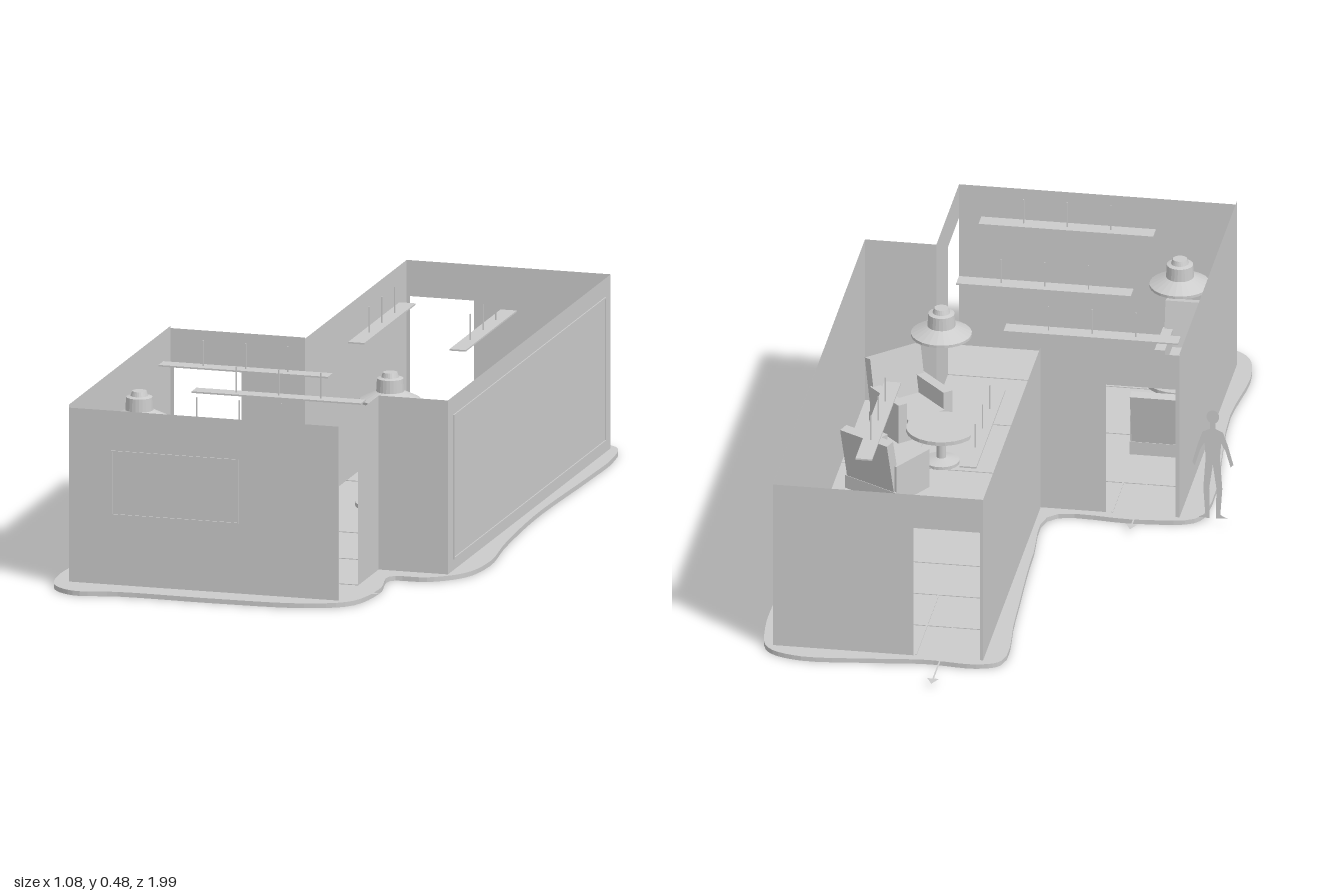
import * as THREE from 'three';

const grey = new THREE.MeshStandardMaterial({ color: 0xcccccc, flatShading: true, side: THREE.DoubleSide });
const FLOOR = 0.012;

function add(parent, name, geometry, x = 0, y = 0, z = 0) {
  const mesh = new THREE.Mesh(geometry, grey);
  mesh.name = name;
  mesh.position.set(x, y, z);
  parent.add(mesh);
  return mesh;
}

// Box given by its minimum and maximum corners
function block(parent, name, [x0, y0, z0], [x1, y1, z1]) {
  const geometry = new THREE.BoxGeometry(x1 - x0, y1 - y0, z1 - z0);
  return add(parent, name, geometry, (x0 + x1) / 2, (y0 + y1) / 2, (z0 + z1) / 2);
}

const shapeOf = pts => new THREE.Shape(pts.map(p => new THREE.Vector2(p[0], p[1])));

// Thin wall sheet between two plan points, with an optional doorway [start, end]
function wall(parent, name, [x0, z0], [x1, z1], height, door) {
  const len = Math.hypot(x1 - x0, z1 - z0);
  const pts = [[0, 0]];
  if (door) pts.push([door[0], 0], [door[0], 0.355], [door[1], 0.355], [door[1], 0]);
  pts.push([len, 0], [len, height - 0.01], [0, height - 0.01]);
  const mesh = add(parent, name, new THREE.ShapeGeometry(shapeOf(pts)), x0, 0.01, z0);
  mesh.rotation.y = Math.atan2(z0 - z1, x1 - x0);
}

// Armchair facing +z
function armchair(x, z, turn) {
  const g = new THREE.Group();
  g.name = 'armchair';
  block(g, 'chairBase', [-0.08, 0.015, -0.065], [0.08, 0.05, 0.07]);
  block(g, 'chairCushion', [-0.054, 0.05, -0.05], [0.054, 0.075, 0.075]);
  for (const s of [-1, 1])
    add(g, 'chairArm', new THREE.BoxGeometry(0.026, 0.07, 0.13), s * 0.067, 0.085, 0.005);
  const back = add(g, 'chairBack', new THREE.BoxGeometry(0.15, 0.14, 0.025), 0, 0.12, -0.065);
  back.rotation.x = -0.2;
  g.position.set(x, 0, z);
  g.rotation.y = turn;
  return g;
}

// Round table with a pendant lamp above
function tableAndLamp(x, z) {
  const g = new THREE.Group();
  g.name = 'tableAndLamp';
  const lathe = pts => new THREE.LatheGeometry(pts.map(p => new THREE.Vector2(...p)), 24);
  add(g, 'roundTable', lathe([[0, FLOOR], [0.045, FLOOR], [0.045, 0.02], [0.012, 0.028],
    [0.012, 0.1], [0.088, 0.1], [0.088, 0.11], [0, 0.11]]));
  add(g, 'pendantLamp', lathe([[0.03, 0.36], [0.076, 0.365], [0.076, 0.372], [0.035, 0.392],
    [0.033, 0.425], [0.022, 0.428], [0.018, 0.44], [0, 0.44]]));
  g.position.set(x, 0, z);
  return g;
}

// Flat hanging light strip with three rods
function lightStrip(x, z, alongZ) {
  const g = new THREE.Group();
  g.name = 'lightStrip';
  add(g, 'strip', new THREE.BoxGeometry(0.44, 0.004, 0.042), 0, 0.412, 0);
  for (const i of [-1, 0, 1])
    add(g, 'stripRod', new THREE.BoxGeometry(0.003, 0.068, 0.003), i * 0.11, 0.446, 0);
  g.position.set(x, 0, z);
  if (alongZ) g.rotation.y = Math.PI / 2;
  return g;
}

// Flat arrow on the floor, pointing +x before turning
function arrow(x, z, length, turn) {
  const geometry = new THREE.ShapeGeometry(shapeOf([[0, -0.002], [length - 0.03, -0.002],
    [length - 0.03, -0.015], [length, 0], [length - 0.03, 0.015], [length - 0.03, 0.002], [0, 0.002]]));
  geometry.rotateX(-Math.PI / 2);
  const g = new THREE.Group();
  g.name = 'directionArrow';
  add(g, 'arrowShape', geometry);
  g.position.set(x, FLOOR + 0.002, z);
  g.rotation.y = turn;
  return g;
}

// Rectangular thin frame, drawn in the xy plane
function frame(w, h, t) {
  const shape = shapeOf([[0, 0], [w, 0], [w, h], [0, h]]);
  shape.holes.push(new THREE.Path([[t, t], [t, h - t], [w - t, h - t], [w - t, t]].map(p => new THREE.Vector2(...p))));
  return new THREE.ExtrudeGeometry(shape, { depth: 0.003, bevelEnabled: false });
}

export function createModel() {
  const model = new THREE.Group();
  model.name = 'roomPlan';

  // Wavy floor slab
  const outline = [[-0.105, -0.84], [-0.05, -0.87], [0.08, -0.865], [0.21, -0.88], [0.4, -0.895], [0.48, -0.86],
    [0.505, -0.75], [0.505, -0.55], [0.495, -0.13], [0.51, 0.19], [0.53, 0.4], [0.505, 0.53], [0.43, 0.6], [0.34, 0.615],
    [0.352, 0.75], [0.32, 0.9], [0.21, 0.955], [0, 0.97], [-0.26, 0.97], [-0.37, 0.99], [-0.43, 0.95],
    [-0.455, 0.85], [-0.44, 0.61], [-0.475, 0.13], [-0.45, 0.03], [-0.31, 0], [-0.095, -0.01], [-0.085, -0.24], [-0.1, -0.6]];
  const curve = new THREE.CatmullRomCurve3(outline.map(p => new THREE.Vector3(p[0], p[1], 0)), true);
  const slab = new THREE.ExtrudeGeometry(shapeOf(curve.getPoints(140).slice(0, -1).map(p => [p.x, p.y])),
    { depth: FLOOR, bevelEnabled: false });
  slab.rotateX(Math.PI / 2);
  add(model, 'floor', slab, 0, FLOOR, 0);

  // Walls around the stepped plan
  wall(model, 'frontWall', [-0.41, 0.9], [0.29, 0.9], 0.457);
  wall(model, 'balconyWall', [0.29, 0.9], [0.29, 0.555], 0.457, [0.005, 0.168]);
  wall(model, 'stepWall', [0.29, 0.555], [0.47, 0.555], 0.457);
  wall(model, 'rightWall', [0.47, 0.555], [0.47, -0.845], 0.457);
  wall(model, 'backWall', [0.47, -0.845], [-0.06, -0.845], 0.457, [0.355, 0.522]);
  wall(model, 'kitchenSideWall', [-0.06, -0.845], [-0.06, 0.03], 0.457);
  wall(model, 'stairWall', [-0.06, 0.03], [-0.41, 0.03], 0.46, [0.165, 0.34]);
  wall(model, 'leftWall', [-0.41, 0.03], [-0.41, 0.9], 0.465);

  // Window outlines
  add(model, 'frontWindowFrame', frame(0.33, 0.165, 0.003), -0.3, 0.19, 0.9);
  add(model, 'sideWindowFrame', frame(1.31, 0.37, 0.004), 0.47, 0.04, 0.51).rotation.y = Math.PI / 2;

  // Floor grid lines
  for (const [x, z0, z1] of [[-0.06, 0.03, 0.9], [0.29, -0.07, 0.555], [0.11, -0.84, -0.5], [-0.24, 0.03, 0.2]])
    block(model, 'floorLine', [x - 0.002, FLOOR, z0], [x + 0.002, FLOOR + 0.002, z1]);
  for (const [z, x0, x1] of [[-0.675, -0.06, 0.27], [-0.5, -0.06, 0.47], [-0.325, -0.06, 0.47], [0.2, -0.41, 0.47], [0.47, -0.41, 0.29], [0.73, -0.41, 0.29]])
    block(model, 'floorLine', [x0, FLOOR, z - 0.002], [x1, FLOOR + 0.002, z + 0.002]);

  // Kitchen counter
  block(model, 'kitchenCounter', [0.375, FLOOR, -0.84], [0.455, 0.15, -0.38]);

  // Seating, tables and lights
  model.add(armchair(-0.31, 0.42, 0), armchair(-0.31, 0.805, Math.PI),
    armchair(0.335, 0.07, -0.52), armchair(0.335, 0.425, -2.4));
  model.add(tableAndLamp(0.225, 0.24), tableAndLamp(-0.315, 0.61));
  model.add(lightStrip(-0.16, 0.21), lightStrip(0, 0.455), lightStrip(0, 0.795));
  model.add(lightStrip(0.022, -0.36, true), lightStrip(0.285, -0.36, true));

  // Arrows through the three doorways
  model.add(arrow(0.045, -0.62, 0.38, Math.PI / 2), arrow(-0.3, 0.25, 0.31, Math.PI / 2), arrow(0.12, 0.81, 0.25, 0));

  // Flat scale figure beside the stair door
  const half = [[0.007, 0.282], [0.007, 0.264], [0.026, 0.255], [0.038, 0.22], [0.052, 0.168], [0.045, 0.16],
    [0.032, 0.205], [0.021, 0.225], [0.018, 0.185], [0.024, 0.1], [0.019, 0.027], [0.037, 0.018], [0.008, 0.016], [0.009, 0.1]];
  const body = [...half, [0, 0.165], ...half.map(([x, y]) => [-x, y]).reverse()];
  const figure = new THREE.Group();
  figure.name = 'scaleFigure';
  add(figure, 'figureBody', new THREE.ShapeGeometry(shapeOf(body)));
  add(figure, 'figureHead', new THREE.CircleGeometry(0.016, 20), 0, 0.297, 0).scale.y = 1.15;
  figure.position.set(-0.494, 0, 0.03);
  model.add(figure);

  return model;
}
